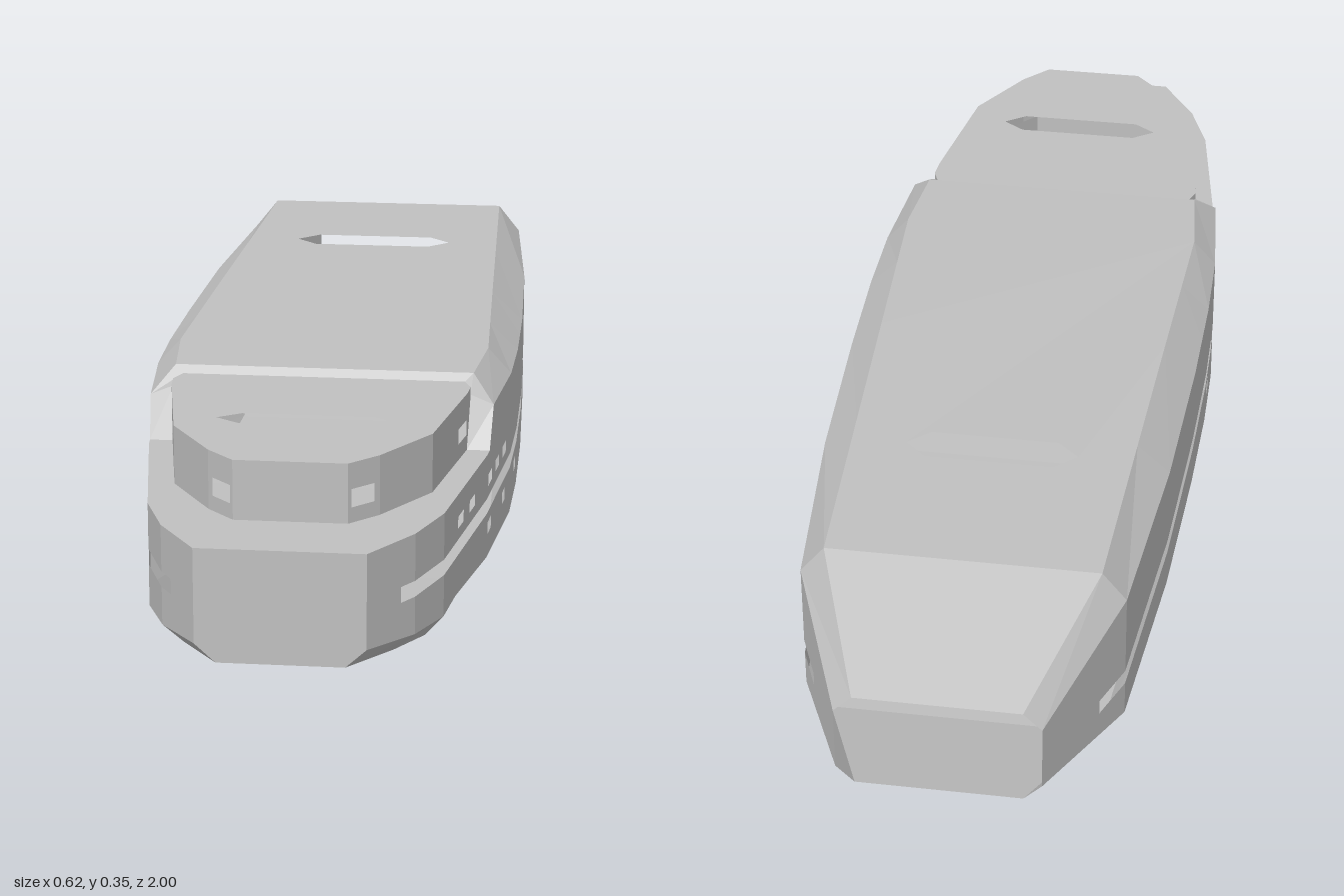
import * as THREE from 'three';

const hullGrey = new THREE.MeshStandardMaterial({ color: 0xc0c0c0, side: THREE.DoubleSide });
hullGrey.name = 'hull grey';

// Piecewise linear curve through [z, value] pairs, z rising
const curve = (pts) => (z) => {
  if (z <= pts[0][0]) return pts[0][1];
  for (let i = 1; i < pts.length; i++) {
    const [z0, a] = pts[i - 1], [z1, b] = pts[i];
    if (z <= z1) return a + (b - a) * (z - z0) / (z1 - z0);
  }
  return pts[pts.length - 1][1];
};

// Hull lines
const beam = curve([[-1, 0.165], [-0.75, 0.265], [-0.4, 0.295], [-0.1, 0.307], [0.1, 0.31], [0.25, 0.307],
  [0.5, 0.283], [0.8, 0.235], [0.9, 0.198], [1, 0.133]]);
const sheer = curve([[-1, 0.235], [-0.75, 0.305], [-0.1, 0.3], [0.44, 0.304], [0.476, 0.235], [1, 0.235]]);
const chine = curve([[-1, 0.12], [-0.75, 0.07], [-0.1, 0.06], [0.25, 0.05], [0.5, 0.055], [0.72, 0.068],
  [0.8, 0.063], [0.9, 0.07], [1, 0.08]]);
const keelX = curve([[-1, 0.135], [-0.75, 0.225], [-0.4, 0.25], [0.1, 0.265], [0.5, 0.245], [0.8, 0.205],
  [0.9, 0.165], [1, 0.1]]);
const keelY = curve([[-1, 0.09], [-0.75, 0.02], [-0.4, 0.004], [0, 0], [0.1, 0.002], [0.5, 0.014], [0.8, 0.03],
  [0.9, 0.043], [1, 0.05]]);
const roofX = curve([[-1, 0.135], [-0.75, 0.225], [-0.1, 0.252], [0.25, 0.267], [0.397, 0.252]]);
const roofY = curve([[-1, 0.265], [-0.75, 0.355], [-0.1, 0.351], [0.397, 0.345]]);
const cabinX = curve([[0.41, 0.238], [0.44, 0.25], [0.476, 0.247], [0.7, 0.208], [0.818, 0.135], [0.865, 0.09]]);
const cabinFoot = curve([[0.41, 0.333], [0.44, 0.32], [0.476, 0.235], [0.865, 0.235]]);

const DECK = 0.235, CABIN_TOP = 0.333;
const stations = [-1, -0.75, -0.4, -0.1, 0, 0.1, 0.25, 0.44, 0.476, 0.5, 0.72, 0.8, 0.9, 1];
const cabinStations = [0.41, 0.44, 0.476, 0.5, 0.7, 0.8, 0.818, 0.865];

// Openings as [z0, z1, y0, y1]
const hullOpenings = [
  [-0.83, 0.93, 0.132, 0.158],
  ...[0.3, 0.374, 0.45, 0.588, 0.668].map((z) => [z, z + 0.038, 0.177, 0.197]),
  ...[0.123, 0.455].map((z) => [z, z + 0.035, 0.093, 0.114]),
];
const leftOpenings = [...hullOpenings, [0.305, 0.335, 0.093, 0.114]];
const rightOpenings = [...hullOpenings, [0.255, 0.285, 0.093, 0.114], [0.357, 0.377, 0.06, 0.114]];
const cabinOpenings = [[0.48, 0.533, 0.262, 0.288], [0.826, 0.86, 0.26, 0.29]];

const sorted = (list) => [...new Set(list)].sort((a, b) => a - b);
const flip = ([x, y, z]) => [-x, y, z];

function meshFromQuads(name, quads) {
  const pos = [];
  for (const [a, b, c, d] of quads) pos.push(...a, ...b, ...c, ...a, ...c, ...d);
  const geo = new THREE.BufferGeometry();
  geo.setAttribute('position', new THREE.Float32BufferAttribute(pos, 3));
  geo.computeVertexNormals();
  const mesh = new THREE.Mesh(geo, hullGrey);
  mesh.name = name;
  return mesh;
}

const mirrorQuads = (quads) => quads.map((q) => q.map(flip).reverse());
const bothSides = (quads) => [...quads, ...mirrorQuads(quads)];

// Strip between two lines given as functions of z
const strip = (zs, lower, upper) => zs.slice(1).map((z1, i) => {
  const z0 = zs[i];
  return [lower(z1), lower(z0), upper(z0), upper(z1)];
});

// Upright wall following x(z), with rectangular openings left out
function wall(zs, x, bottom, top, openings) {
  const cols = sorted([...zs, ...openings.flatMap((o) => [o[0], o[1]])]);
  const rows = [0, ...sorted(openings.flatMap((o) => [o[2], o[3]])), 1];
  const quads = [];
  for (let j = 1; j < rows.length; j++) {
    const line = (y) => (z) => [x(z), Math.min(Math.max(y, bottom(z)), top(z)), z];
    const yMid = (rows[j - 1] + rows[j]) / 2;
    strip(cols, line(rows[j - 1]), line(rows[j])).forEach((q, i) => {
      const zMid = (cols[i] + cols[i + 1]) / 2;
      const open = openings.some((o) => zMid > o[0] && zMid < o[1] && yMid > o[2] && yMid < o[3]);
      if (!open) quads.push(q);
    });
  }
  return quads;
}

// Roof plate with a six-sided slot; half is a list of [x, z] down the left edge
function slottedRoof(name, half, slotZ, slotDepth, y) {
  const outline = [...half, ...half.map(([x, z]) => [-x, z]).reverse()];
  const shape = new THREE.Shape(outline.map(([x, z]) => new THREE.Vector2(x, -z)));
  const d = slotDepth / 2;
  const slot = [[0.146, 0], [0.108, d], [-0.108, d], [-0.146, 0], [-0.108, -d], [0.108, -d]];
  shape.holes.push(new THREE.Path(slot.map(([x, z]) => new THREE.Vector2(x, -slotZ - z))));
  const geo = new THREE.ShapeGeometry(shape).toNonIndexed();
  const p = geo.attributes.position;
  for (let i = 0; i < p.count; i++) {
    const z = -p.getY(i);
    p.setXYZ(i, p.getX(i), y(z), z);
  }
  geo.computeVertexNormals();
  const mesh = new THREE.Mesh(geo, hullGrey);
  mesh.name = name;
  return mesh;
}

export function createModel() {
  const ship = new THREE.Group();
  ship.name = 'ship';

  // Hull sides with the long slot and portholes
  ship.add(meshFromQuads('leftSide', wall(stations, beam, chine, sheer, leftOpenings)));
  ship.add(meshFromQuads('rightSide', mirrorQuads(wall(stations, beam, chine, sheer, rightOpenings))));

  // Sloped bilge and flat bottom
  const keelLine = (z) => [keelX(z), keelY(z), z];
  const chineLine = (z) => [beam(z), chine(z), z];
  ship.add(meshFromQuads('bilge', bothSides(strip(stations, keelLine, chineLine))));
  ship.add(meshFromQuads('bottom', strip(stations, (z) => flip(keelLine(z)), keelLine)));

  // Blunt bow
  const b = beam(1), k = keelX(1);
  ship.add(meshFromQuads('bow', [
    [[-b, 0.08, 1], [b, 0.08, 1], [b, DECK, 1], [-b, DECK, 1]],
    [[-k, 0.05, 1], [k, 0.05, 1], [b, 0.08, 1], [-b, 0.08, 1]],
  ]));

  // Foredeck around the cabin
  const deckEdge = (z) => [beam(z), DECK, z];
  ship.add(meshFromQuads('foredeck', bothSides([
    ...strip([0.476, 0.5, 0.7, 0.8, 0.818, 0.865], deckEdge, (z) => [cabinX(z), DECK, z]),
    ...strip([0.865, 0.9, 1], deckEdge, (z) => [0, DECK, z]),
    [[0.09, DECK, 0.865], [0.09, DECK, 0.865], [0, DECK, 0.865], [0, DECK, 0.865]],
  ].slice(0, -1))));

  // Main body shoulders, running from the raked front edge to the open stern
  const bodyZ = stations.filter((z) => z < 0.4);
  const shoulderLine = (z) => [beam(z), sheer(z), z];
  const roofLine = (z) => [roofX(z), roofY(z), z];
  const front = 0.397;
  const shoulders = strip(bodyZ, shoulderLine, roofLine);
  shoulders.push([shoulderLine(0.44), shoulderLine(0.25), roofLine(0.25), roofLine(front)]);
  ship.add(meshFromQuads('shoulders', bothSides(shoulders)));

  // Main roof and its slope down to the stern
  const roofHalf = [front, 0.25, -0.1, -0.75].map((z) => [roofX(z), z]);
  ship.add(slottedRoof('mainRoof', roofHalf, -0.447, 0.07, roofY));
  ship.add(meshFromQuads('sternSlope', strip([-1, -0.75], roofLine, (z) => flip(roofLine(z)))));

  // Raked frame joining the main body to the cabin
  const outer = [deckEdge(0.476), shoulderLine(0.44), roofLine(front)];
  const inner = [[0.247, DECK, 0.476], [0.25, 0.32, 0.44], [0.238, CABIN_TOP, 0.41]];
  ship.add(meshFromQuads('bodyFrame', [
    ...bothSides([0, 1].map((i) => [inner[i], outer[i], outer[i + 1], inner[i + 1]])),
    [flip(inner[2]), inner[2], outer[2], flip(outer[2])],
  ]));

  // Forward cabin: sides with windows, front and roof
  const cabinSide = wall(cabinStations, cabinX, cabinFoot, () => CABIN_TOP, cabinOpenings);
  ship.add(meshFromQuads('cabinSides', bothSides(cabinSide)));
  ship.add(meshFromQuads('cabinFront', [[[-0.09, DECK, 0.865], [0.09, DECK, 0.865],
    [0.09, CABIN_TOP, 0.865], [-0.09, CABIN_TOP, 0.865]]]));
  const cabinHalf = [0.865, 0.818, 0.7, 0.476, 0.44, 0.41].map((z) => [cabinX(z), z]);
  ship.add(slottedRoof('cabinRoof', cabinHalf, 0.65, 0.052, () => CABIN_TOP));

  return ship;
}
